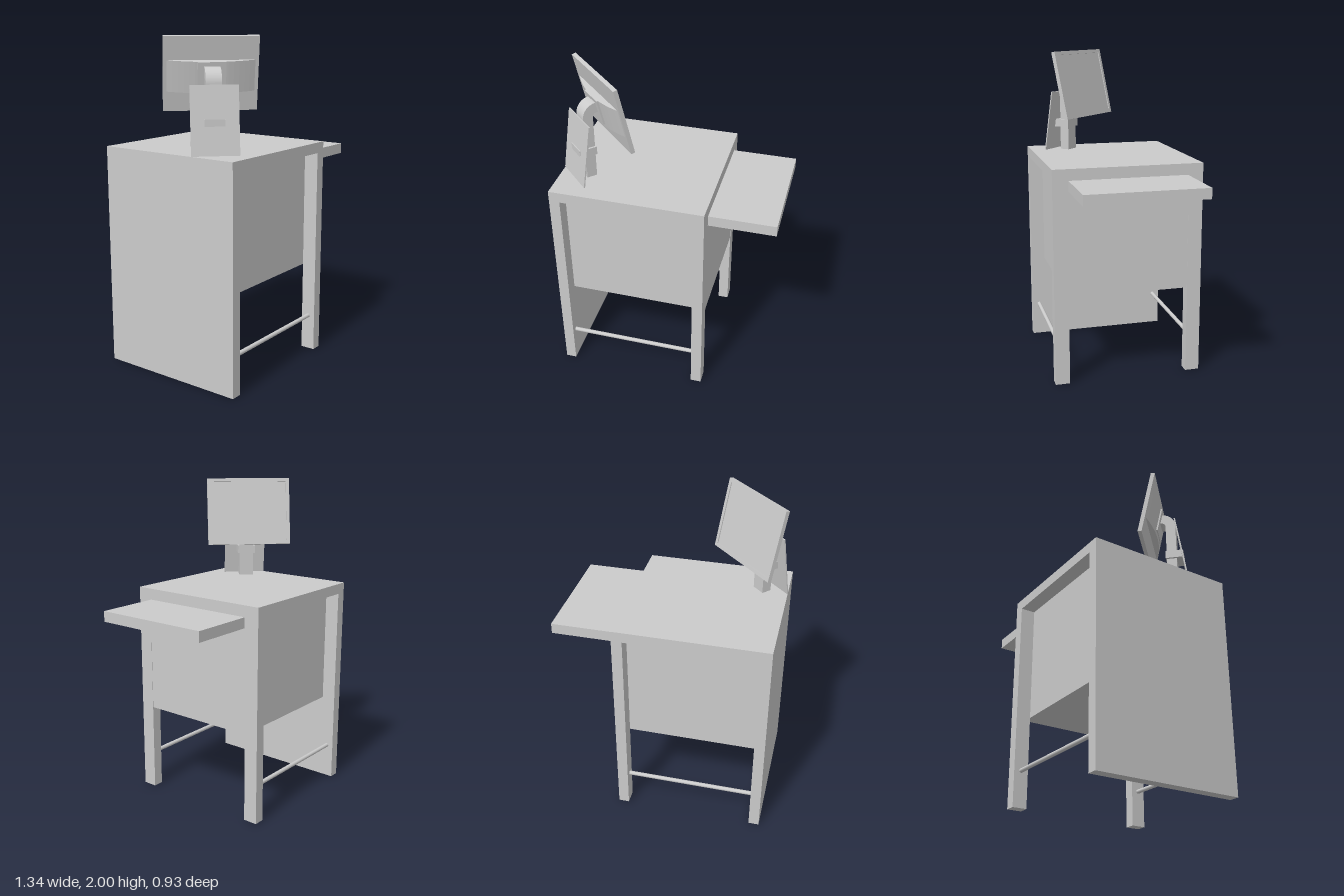
import * as THREE from 'three';

const mat = new THREE.MeshStandardMaterial({ color: 0xcccccc, side: THREE.DoubleSide });

function add(parent, name, geometry, x = 0, y = 0, z = 0) {
  const mesh = new THREE.Mesh(geometry, mat);
  mesh.name = name;
  mesh.position.set(x, y, z);
  parent.add(mesh);
  return mesh;
}

// Box given by its minimum and maximum on each axis
function span(parent, name, [x0, x1], [y0, y1], [z0, z1]) {
  return add(parent, name, new THREE.BoxGeometry(x1 - x0, y1 - y0, z1 - z0),
    (x0 + x1) / 2, (y0 + y1) / 2, (z0 + z1) / 2);
}

function rectangle(Path, w, h) {
  return new Path([[-1, -1], [1, -1], [1, 1], [-1, 1]]
    .map(([x, y]) => new THREE.Vector2(x * w / 2, y * h / 2)));
}

const extrude = (shape, depth) =>
  new THREE.ExtrudeGeometry(shape, { depth, bevelEnabled: false, curveSegments: 16 });

function createDesk() {
  const desk = new THREE.Group();
  desk.name = 'desk';
  span(desk, 'deskTop', [-0.667, 0.266], [1.285, 1.35], [-0.467, 0.467]);
  span(desk, 'sidePanel', [-0.667, -0.602], [0, 1.285], [-0.467, 0.467]);
  span(desk, 'cabinet', [-0.602, 0.264], [0.56, 1.285], [-0.377, 0.377]);
  span(desk, 'sideShelf', [0.266, 0.666], [1.215, 1.28], [-0.37, 0.37]);

  // Leg and foot rail at the front and the back
  for (const s of [1, -1]) {
    const end = s > 0 ? 'front' : 'back';
    add(desk, end + 'Leg', new THREE.BoxGeometry(0.066, 1.285, 0.09), 0.233, 0.6425, s * 0.422);
    const rail = add(desk, end + 'FootRail', new THREE.CylinderGeometry(0.013, 0.013, 0.804, 16),
      -0.2, 0.222, s * 0.422);
    rail.rotation.z = Math.PI / 2;
  }
  return desk;
}

function createScreen() {
  const W = 0.54, H = 0.43, T = 0.025, bezel = 0.022;
  const screen = new THREE.Group();
  screen.name = 'screen';

  // Raised bezel around a slightly sunken display
  const frame = rectangle(THREE.Shape, W, H);
  frame.holes.push(rectangle(THREE.Path, W - 2 * bezel, H - 2 * bezel));
  add(screen, 'bezel', extrude(frame, T), 0, 0, -T / 2);
  add(screen, 'display', new THREE.BoxGeometry(W - 2 * bezel, H - 2 * bezel, T - 0.006), 0, 0, -0.003);

  // Shallow curved housing on the back
  const arc = new THREE.Shape();
  arc.moveTo(-0.25, 0);
  arc.quadraticCurveTo(0, 0.085, 0.25, 0);
  arc.closePath();
  const housing = add(screen, 'rearHousing', extrude(arc, 0.18), 0, 0.08, -T / 2);
  housing.rotation.x = Math.PI / 2;
  housing.scale.y = -1;
  add(screen, 'mountPlate', new THREE.BoxGeometry(0.16, 0.16, 0.03), 0, 0.0, -0.045);
  return screen;
}

// Flat post that curves over at the top towards the screen
function createPost() {
  const half = 0.031, r = 0.056, z = -0.12, bend = 1.742, tip = -0.05;
  const side = new THREE.Shape();
  side.moveTo(z - half, 1.35);
  side.lineTo(z - half, bend);
  side.absarc(z + r, bend, r + half, Math.PI, Math.PI / 2, true);
  side.lineTo(tip, bend + r + half);
  side.lineTo(tip, bend + r - half);
  side.lineTo(z + r, bend + r - half);
  side.absarc(z + r, bend, r - half, Math.PI / 2, Math.PI, false);
  side.lineTo(z + half, 1.35);
  side.closePath();
  const geometry = extrude(side, 0.09);
  geometry.translate(0, 0, -0.045);
  geometry.rotateY(-Math.PI / 2);
  return geometry;
}

export function createModel() {
  const model = new THREE.Group();
  model.name = 'workstation';
  model.add(createDesk());

  // Monitor stand, turned across the corner of the desk
  const stand = new THREE.Group();
  stand.name = 'monitorStand';
  stand.position.set(-0.42, 0, 0.128);
  stand.rotation.y = Math.PI * 0.75;
  model.add(stand);

  add(stand, 'post', createPost());
  add(stand, 'collar', new THREE.BoxGeometry(0.115, 0.05, 0.11), 0, 1.525, -0.138);

  const screen = createScreen();
  screen.position.y = 1.788;
  screen.rotation.x = -0.218;
  stand.add(screen);

  // Thin leaning panel behind the post
  const panel = add(stand, 'backPanel', new THREE.BoxGeometry(0.272, 0.39, 0.008), 0, 1.543, -0.184);
  panel.rotation.x = 0.152;

  return model;
}
